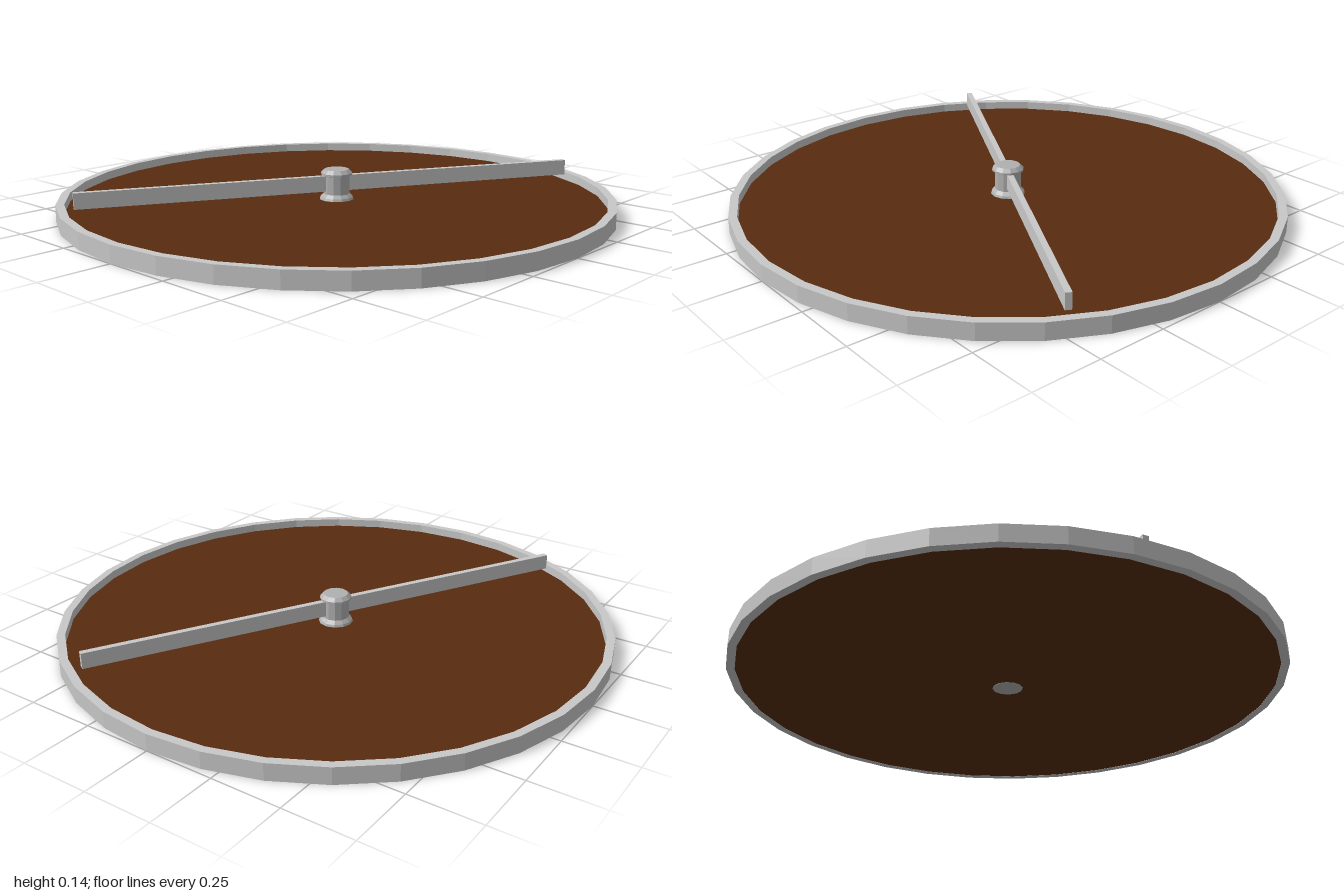
import * as THREE from 'three';

const material = (name, color) => {
  const m = new THREE.MeshStandardMaterial({ color, flatShading: true });
  m.name = name;
  return m;
};

export function createModel() {
  const group = new THREE.Group();
  const silver = material('silver', 0xc8c8c8);
  const steel = material('steel', 0xb0b0b0);
  const brown = material('brown', 0x582c0f);

  const add = (name, geometry, mat) => {
    const mesh = new THREE.Mesh(geometry, mat);
    mesh.name = name;
    group.add(mesh);
    return mesh;
  };
  // Revolved solid from [radius, height] pairs, listed counter-clockwise
  const turned = (points, sides) =>
    new THREE.LatheGeometry(points.map(([r, y]) => new THREE.Vector2(r, y)), sides);

  // Raised rim with a square section
  add('rim', turned([[1, 0], [1, 0.06], [0.97, 0.06], [0.97, 0], [1, 0]], 32), silver);

  // Recessed floor plate
  add('floor', new THREE.CylinderGeometry(0.97, 0.97, 0.028, 32), brown).position.y = 0.015;

  // Spool-shaped hub passing through the floor
  add('hub', turned([
    [0, 0], [0.055, 0], [0.063, 0.03], [0.06, 0.038], [0.048, 0.05],
    [0.048, 0.117], [0.058, 0.12], [0.058, 0.127], [0.045, 0.14], [0, 0.14],
  ], 12), steel);

  // Diagonal bar across the disc, running through the hub
  const bar = add('bar', new THREE.BoxGeometry(0.022, 0.057, 1.882), silver);
  bar.position.y = 0.0885;
  bar.rotation.y = THREE.MathUtils.degToRad(-29.1);

  return group;
}
